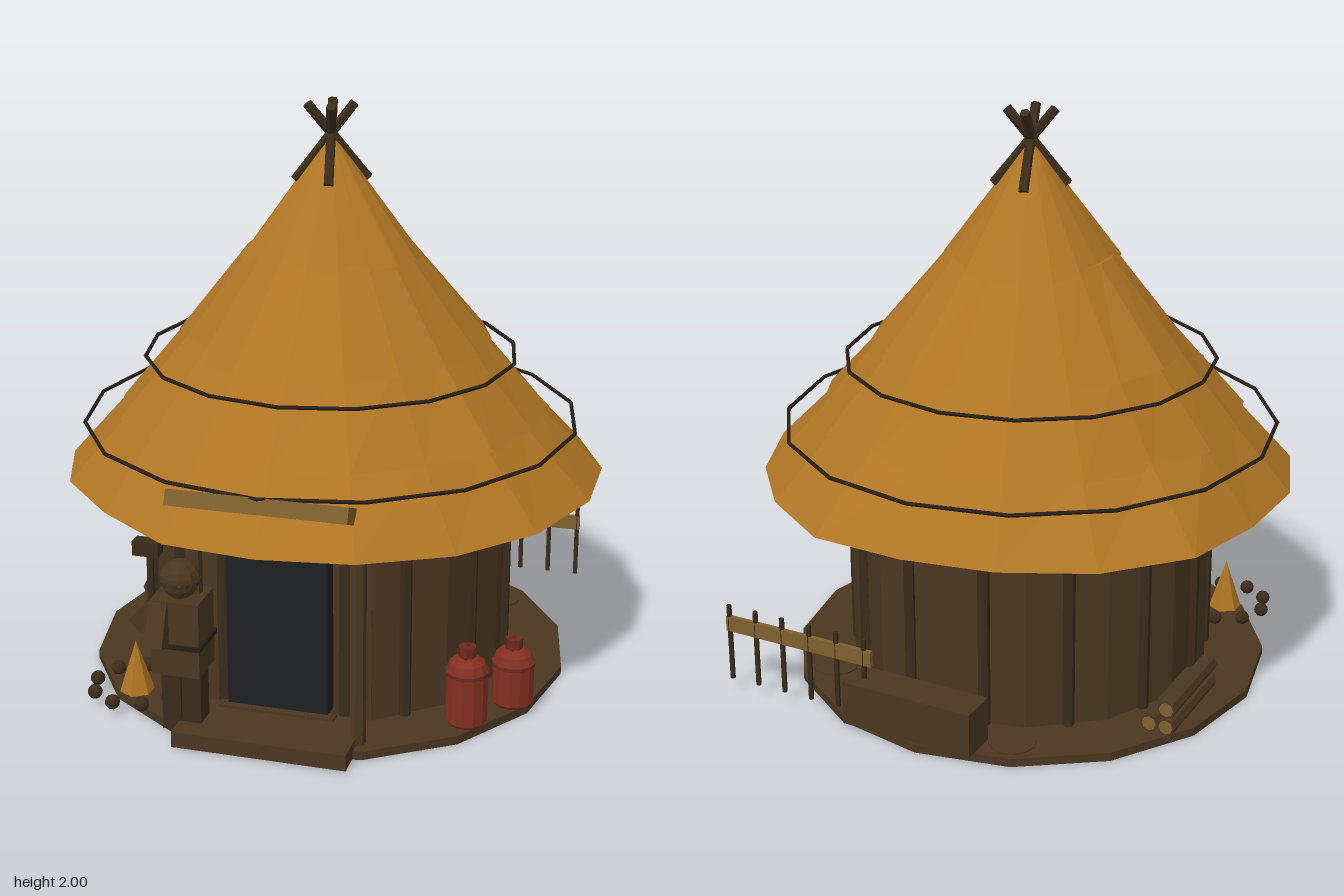
import * as THREE from 'three';

const mat = (name, color) => {
  const m = new THREE.MeshStandardMaterial({ color, flatShading: true });
  m.name = name;
  return m;
};

export function createModel() {
  const thatch = mat('thatch', 0xaf7524);
  const wood = mat('wood', 0x4a3721);
  const darkWood = mat('dark wood', 0x3b2c1b);
  const rope = mat('dark rope', 0x261e17);
  const doorDark = mat('door', 0x1f2021);
  const red = mat('red metal', 0x833021);
  const darkRed = mat('dark red metal', 0x6b281c);
  const tan = mat('tan plank', 0x7e602e);

  const root = new THREE.Group();
  root.name = 'roundHut';
  const CX = -0.02; // hut axis
  let seed = 7;
  const rand = () => ((seed = (seed * 16807) % 2147483647) / 2147483647) * 2 - 1;

  const add = (name, geo, material, x = 0, y = 0, z = 0, parent = root) => {
    const m = new THREE.Mesh(geo, material);
    m.name = name;
    m.position.set(x, y, z);
    parent.add(m);
    return m;
  };
  const box = (name, w, h, d, material, x, y, z, parent) =>
    add(name, new THREE.BoxGeometry(w, h, d), material, x, y, z, parent);
  const cyl = (name, r, h, n, material, x, y, z, parent) =>
    add(name, new THREE.CylinderGeometry(r, r, h, n), material, x, y, z, parent);
  // round rod between two points
  const rod = (name, a, b, r, material, n = 6, parent = root) => {
    const p = new THREE.Vector3(...a), q = new THREE.Vector3(...b);
    const d = q.clone().sub(p);
    const m = cyl(name, r, d.length(), n, material, 0, 0, 0, parent);
    m.position.copy(p).add(q).multiplyScalar(0.5);
    m.quaternion.setFromUnitVectors(new THREE.Vector3(0, 1, 0), d.normalize());
    return m;
  };

  // floor disc and doorstep
  cyl('floor', 0.84, 0.03, 16, wood, CX, 0.015, 0);
  box('doorstep', 0.59, 0.055, 0.25, wood, -0.025, 0.0325, 0.745);

  // wall with a flat front panel, and its posts
  add('wall', new THREE.CylinderGeometry(0.64, 0.64, 0.72, 12, 1, true, 0.48, Math.PI * 2 - 0.96),
    wood, CX, 0.39, 0);
  box('frontPanel', 0.59, 0.72, 0.02, wood, CX, 0.39, 0.557);
  const step = (Math.PI * 2) / 14;
  for (let i = 1; i < 13; i++) {
    const a = (i + 0.5) * step;
    cyl('wallPost', 0.021, 0.7, 6, darkWood, CX + Math.sin(a) * 0.628, 0.38, Math.cos(a) * 0.628);
  }

  // door, frame and porch posts
  box('door', 0.345, 0.575, 0.07, doorDark, -0.027, 0.35, 0.605);
  box('sill', 0.4, 0.012, 0.04, wood, -0.027, 0.064, 0.645);
  cyl('lintelPost', 0.025, 0.09, 6, darkWood, CX, 0.69, 0.57);
  for (const s of [-1, 1]) {
    cyl('doorJamb', 0.02, 0.68, 6, darkWood, -0.027 + s * 0.21, 0.38, 0.565);
    cyl('porchPost', 0.027, 0.72, 7, wood, -0.005 + s * 0.275, 0.39, 0.72);
  }

  // thatched roof in four overlapping tiers: top radius, top y, bottom radius, bottom y
  const eave = [0.90, 0.945, 0.936, 0.94, 0.95, 0.945, 0.93, 0.93, 0.948,
    0.90, 0.905, 0.93, 0.95, 0.906, 0.92, 0.92, 0.90, 0.92];
  const tiers = [[0.70, 0.97, 0.925, 0.725], [0.50, 1.22, 0.735, 0.945],
    [0.285, 1.5, 0.54, 1.185], [0.018, 1.865, 0.305, 1.475]];
  tiers.forEach(([rt, yt, rb, yb], t) => {
    const jit = eave.map((r) => [t ? rb + rand() * 0.014 : r, yb + rand() * 0.008]);
    const g = new THREE.CylinderGeometry(rt, rb, yt - yb, 18, 1, false);
    g.translate(0, (yt + yb) / 2, 0);
    const p = g.attributes.position;
    for (let i = 0; i < p.count; i++) {
      const x = p.getX(i), z = p.getZ(i);
      if (p.getY(i) > yb + 0.01 || Math.hypot(x, z) < 0.01) continue;
      const k = (Math.round(Math.atan2(x, z) / (Math.PI / 9)) + 18) % 18;
      const a = k * Math.PI / 9;
      p.setXYZ(i, Math.sin(a) * jit[k][0], jit[k][1], Math.cos(a) * jit[k][0]);
    }
    add('roofTier', g, thatch, CX, 0, 0);
  });

  // binding hoops
  for (const [r, y] of [[0.64, 1.13], [0.855, 0.9]])
    add('roofHoop', new THREE.TorusGeometry(r, 0.007, 5, 16), rope, CX, y, 0).rotation.x = -Math.PI / 2;

  // crossed poles at the peak
  for (const [x, z] of [[-0.015, -0.075], [0.072, -0.035], [-0.075, 0.03], [0.02, 0.075]])
    rod('peakPole', [CX - x * 1.55, 1.73, -z * 1.55], [CX + x, 1.985, z], 0.017, darkWood);

  // tilted plank over the door
  box('signPlank', 0.595, 0.053, 0.103, tan, -0.023, 0.86, 0.817).rotation.x = -0.4;

  // standing guard
  const guard = new THREE.Group();
  guard.name = 'guard';
  root.add(guard);
  box('torso', 0.165, 0.26, 0.15, wood, -0.315, 0.37, 0.75, guard);
  box('belt', 0.18, 0.016, 0.165, rope, -0.315, 0.345, 0.75, guard);
  for (const x of [-0.345, -0.275]) box('leg', 0.065, 0.23, 0.08, darkWood, x, 0.14, 0.75, guard);
  add('head', new THREE.SphereGeometry(0.06, 10, 8), wood, -0.315, 0.55, 0.76, guard);
  add('cap', new THREE.SphereGeometry(0.069, 10, 5, 0, Math.PI * 2, 0, Math.PI / 2), wood,
    -0.315, 0.555, 0.76, guard);
  cyl('capBrim', 0.07, 0.012, 10, darkWood, -0.315, 0.555, 0.76, guard);
  box('rightArm', 0.065, 0.17, 0.07, wood, -0.425, 0.41, 0.7, guard).rotation.z = -0.8;
  box('leftArm', 0.06, 0.15, 0.06, wood, -0.365, 0.42, 0.835, guard).rotation.x = -0.4;
  rod('malletHandle', [-0.455, 0.33, 0.66], [-0.455, 0.6, 0.66], 0.012, darkWood, 6, guard);
  box('malletHead', 0.09, 0.05, 0.05, darkWood, -0.463, 0.61, 0.66, guard);

  // gas bottles
  for (const [x, z, top] of [[0.58, 0.485, 0.27], [0.703, 0.31, 0.235]]) {
    const g = new THREE.Group();
    g.name = 'gasBottle';
    g.position.set(x, 0.03, z);
    root.add(g);
    const h = top - 0.03;
    const prof = [[0, 0], [0.062, 0], [0.071, 0.012], [0.071, h - 0.05], [0.06, h - 0.02], [0.035, h], [0, h]];
    add('bottleBody', new THREE.LatheGeometry(prof.map((p) => new THREE.Vector2(...p)), 12), red, 0, 0, 0, g);
    cyl('bottleValve', 0.03, 0.04, 8, darkRed, 0, h + 0.015, 0, g);
    cyl('bottleBand', 0.074, 0.012, 12, darkRed, 0, h - 0.055, 0, g);
    add('bottleHandle', new THREE.TorusGeometry(0.032, 0.005, 5, 10), darkRed, 0, h + 0.005, 0, g)
      .rotation.y = Math.PI / 2;
  }

  // campfire with a ring of stones
  add('campfire', new THREE.ConeGeometry(0.06, 0.185, 6), thatch, -0.555, 0.122, 0.565);
  for (let i = 0; i < 9; i++) {
    const a = (i / 9) * Math.PI * 2 - 0.23;
    add('fireStone', new THREE.IcosahedronGeometry(0.026, 1), darkWood,
      -0.555 + Math.sin(a) * 0.148, 0.05, 0.565 + Math.cos(a) * 0.148);
  }

  // stacked logs with pale cut ends
  for (const [x, y] of [[-0.73, 0.06], [-0.67, 0.06], [-0.73, 0.125]]) {
    rod('log', [x, y, -0.41], [x, y, -0.04], 0.032, wood, 8);
    rod('logEnd', [x, y, -0.413], [x, y, -0.408], 0.025, tan, 8);
  }

  // rack with stakes, trough and round mats behind the hut
  box('rackRail', 0.58, 0.055, 0.016, tan, 0.47, 0.262, -0.77);
  for (let i = 0; i < 6; i++) cyl('rackStake', 0.009, 0.28, 6, darkWood, 0.75 - i * 0.108, 0.19, -0.77);
  box('trough', 0.48, 0.155, 0.13, wood, 0.02, 0.108, -0.765);
  for (const [x, z] of [[0.5, -0.5], [-0.3, -0.68]]) cyl('groundMat', 0.08, 0.006, 12, wood, x, 0.032, z);

  return root;
}
